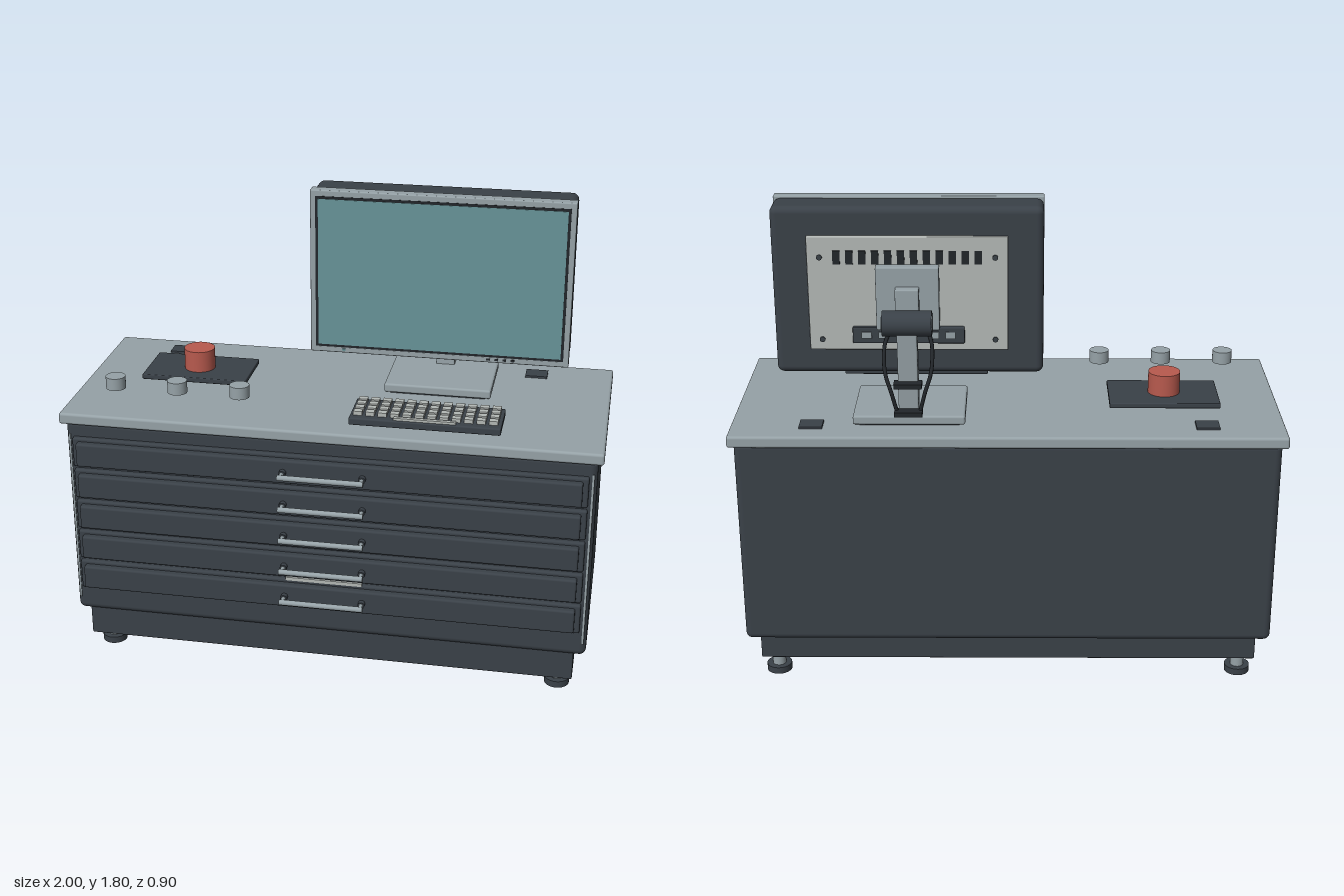
import * as THREE from 'three';
import { RoundedBoxGeometry } from 'three/addons/geometries/RoundedBoxGeometry.js';

const mat = (name, color) => {
  const m = new THREE.MeshStandardMaterial({ color });
  m.name = name;
  return m;
};

export function createModel() {
  const root = new THREE.Group();
  root.name = 'controlDesk';
  const dark = mat('charcoal', 0x3a4148);
  const black = mat('black', 0x22262a);
  const grey = mat('steelGrey', 0x96a2a7);
  const light = mat('paleGrey', 0xb4b9b6);
  const teal = mat('screenTeal', 0x689499);
  const red = mat('red', 0xb85a4e);

  const add = (name, geo, m, x = 0, y = 0, z = 0) => {
    const mesh = new THREE.Mesh(geo, m);
    mesh.name = name;
    mesh.position.set(x, y, z);
    root.add(mesh);
    return mesh;
  };
  // Box from its limits on each axis; r rounds the edges
  const box = (name, m, [x0, x1], [y0, y1], [z0, z1], r = 0) => {
    const s = [x1 - x0, y1 - y0, z1 - z0];
    const geo = r ? new RoundedBoxGeometry(...s, 3, r) : new THREE.BoxGeometry(...s);
    return add(name, geo, m, (x0 + x1) / 2, (y0 + y1) / 2, (z0 + z1) / 2);
  };
  // Upright cylinder standing on y0
  const post = (name, m, r, y0, y1, x, z) =>
    add(name, new THREE.CylinderGeometry(r, r, y1 - y0, 32), m, x, (y0 + y1) / 2, z);
  // Cylinder along x
  const barX = (name, m, r, len, x, y, z) => {
    const c = add(name, new THREE.CylinderGeometry(r, r, len, 24), m, x, y, z);
    c.rotation.z = Math.PI / 2;
    return c;
  };
  // Cylinder along z
  const barZ = (name, m, r, len, x, y, z) => {
    const c = add(name, new THREE.CylinderGeometry(r, r, len, 16), m, x, y, z);
    c.rotation.x = Math.PI / 2;
    return c;
  };

  // Cabinet, plinth and worktop
  box('cabinet', dark, [-0.98, 0.98], [0.185, 0.985], [-0.432, 0.347], 0.025);
  box('plinth', dark, [-0.935, 0.935], [0.072, 0.2], [-0.37, 0.333], 0.006);
  box('worktop', grey, [-1, 1], [0.973, 1.017], [-0.45, 0.362], 0.01);

  // Levelling feet
  for (const x of [-0.876, 0.876]) {
    for (const z of [-0.323, 0.238]) {
      post('footStem', grey, 0.025, 0.02, 0.08, x, z);
      post('footPad', dark, 0.047, 0, 0.026, x, z);
    }
    const s = Math.sign(x);
    box('edgeTrim', grey, [s * 0.966 - 0.004, s * 0.966 + 0.004], [0.24, 0.93], [0.335, 0.35]);
  }

  // Drawers with raised panels and bar handles
  for (let i = 0; i < 5; i++) {
    const y = 0.864 - i * 0.1285;
    box('drawerFrame', dark, [-0.952, 0.952], [y - 0.059, y + 0.059], [0.33, 0.366], 0.008);
    box('drawerPanel', dark, [-0.932, 0.932], [y - 0.046, y + 0.046], [0.35, 0.392], 0.008);
    barX('drawerHandle', grey, 0.0105, 0.315, 0, y, 0.4395);
    for (const x of [-0.147, 0.147]) {
      barZ('handlePost', grey, 0.008, 0.06, x, y, 0.412);
      barZ('handleCollar', dark, 0.013, 0.022, x, y, 0.4);
    }
  }
  box('labelStrip', light, [-0.147, 0.142], [0.405, 0.418], [0.36, 0.368]);

  // Worktop cable covers
  for (const x of [-0.718, 0.708]) box('cableCover', dark, [x - 0.042, x + 0.042], [1.015, 1.025], [-0.374, -0.305]);

  // Control pad and knobs
  box('controlPad', dark, [-0.778, -0.372], [1.034, 1.054], [-0.214, 0.024], 0.004);
  post('redButton', red, 0.059, 1.054, 1.135, -0.578, -0.092);
  for (const x of [-0.826, -0.588, -0.35]) post('knob', grey, 0.037, 1.066, 1.113, x, 0.196);

  // Keyboard
  box('keyboardBase', dark, [0.08, 0.63], [1.036, 1.064], [0.125, 0.312], 0.006);
  for (let r = 0; r < 4; r++) {
    for (let c = 0; c < 12; c++) {
      const x = 0.109 + c * 0.0447, z = 0.153 + r * 0.039;
      box('key', light, [x - 0.016, x + 0.016], [1.06, 1.079], [z - 0.013, z + 0.013]);
    }
  }
  box('spaceBar', light, [0.243, 0.468], [1.06, 1.073], [0.291, 0.306]);

  // Monitor casing, bezel and screen
  const cx = 0.355;
  box('monitorBack', dark, [cx - 0.482, cx + 0.482], [1.174, 1.792], [-0.222, -0.08], 0.025);
  box('monitorBezel', grey, [cx - 0.484, cx + 0.484], [1.171, 1.798], [-0.092, -0.046], 0.005);
  box('screenSurround', black, [cx - 0.464, cx + 0.464], [1.191, 1.776], [-0.05, -0.0445]);
  box('bezelLip', grey, [cx - 0.464, cx + 0.464], [1.176, 1.194], [-0.05, -0.043]);
  box('screen', teal, [cx - 0.454, cx + 0.454], [1.203, 1.766], [-0.048, -0.0425]);
  for (let i = 0; i < 4; i++) {
    const x = 0.543 + i * 0.03;
    box('monitorButton', black, [x - 0.007, x + 0.007], [1.181, 1.189], [-0.045, -0.041]);
  }
  box('powerLight', teal, [-0.009, 0.005], [1.181, 1.189], [-0.045, -0.041]);

  // Rear service plate with vents and screws
  box('rearPlate', light, [cx - 0.355, cx + 0.355], [1.27, 1.69], [-0.238, -0.215], 0.004);
  for (let i = 0; i < 12; i++) {
    const x = cx - 0.25 + i * 0.0455;
    box('ventSlot', black, [x - 0.013, x + 0.013], [1.59, 1.64], [-0.241, -0.235]);
  }
  for (const x of [cx - 0.31, cx + 0.31])
    for (const y of [1.31, 1.615]) barZ('plateScrew', dark, 0.01, 0.01, x, y, -0.238);

  // Connector strip
  box('connectorStrip', dark, [cx - 0.2, cx + 0.2], [1.3, 1.36], [-0.255, -0.235], 0.004);
  for (const dx of [-0.15, -0.09, 0.09, 0.15])
    box('connector', grey, [cx + dx - 0.018, cx + dx + 0.018], [1.32, 1.343], [-0.26, -0.253]);

  // Mount, hinge, stem and base
  box('mountPlate', grey, [cx - 0.112, cx + 0.112], [1.357, 1.59], [-0.278, -0.236], 0.005);
  box('mountBlock', grey, [cx - 0.042, cx + 0.042], [1.37, 1.52], [-0.315, -0.27], 0.005);
  barX('hinge', dark, 0.046, 0.175, cx, 1.4, -0.325);
  barX('hingePin', grey, 0.027, 0.182, cx, 1.4, -0.325);
  const stem = box('stem', grey, [cx - 0.036, cx + 0.036], [1.045, 1.4], [-0.35, -0.293], 0.006);
  stem.rotation.x = -0.05;
  box('standBase', grey, [cx - 0.202, cx + 0.202], [1.024, 1.058], [-0.352, -0.043], 0.008);
  box('standFoot', dark, [cx - 0.18, cx + 0.18], [1.015, 1.026], [-0.335, -0.06]);

  // Cables with clips on the stem
  for (const s of [-1, 1]) {
    const path = new THREE.CatmullRomCurve3([
      [0.075, 1.33, -0.25], [0.085, 1.3, -0.29], [0.082, 1.22, -0.335],
      [0.06, 1.15, -0.355], [0.04, 1.07, -0.352],
    ].map(([x, y, z]) => new THREE.Vector3(cx + s * x, y, z)));
    add('cable', new THREE.TubeGeometry(path, 24, 0.007, 8), black);
  }
  for (const y of [1.075, 1.182]) box('cableClip', black, [cx - 0.05, cx + 0.05], [y - 0.009, y + 0.009], [-0.382, -0.335]);
  return root;
}
